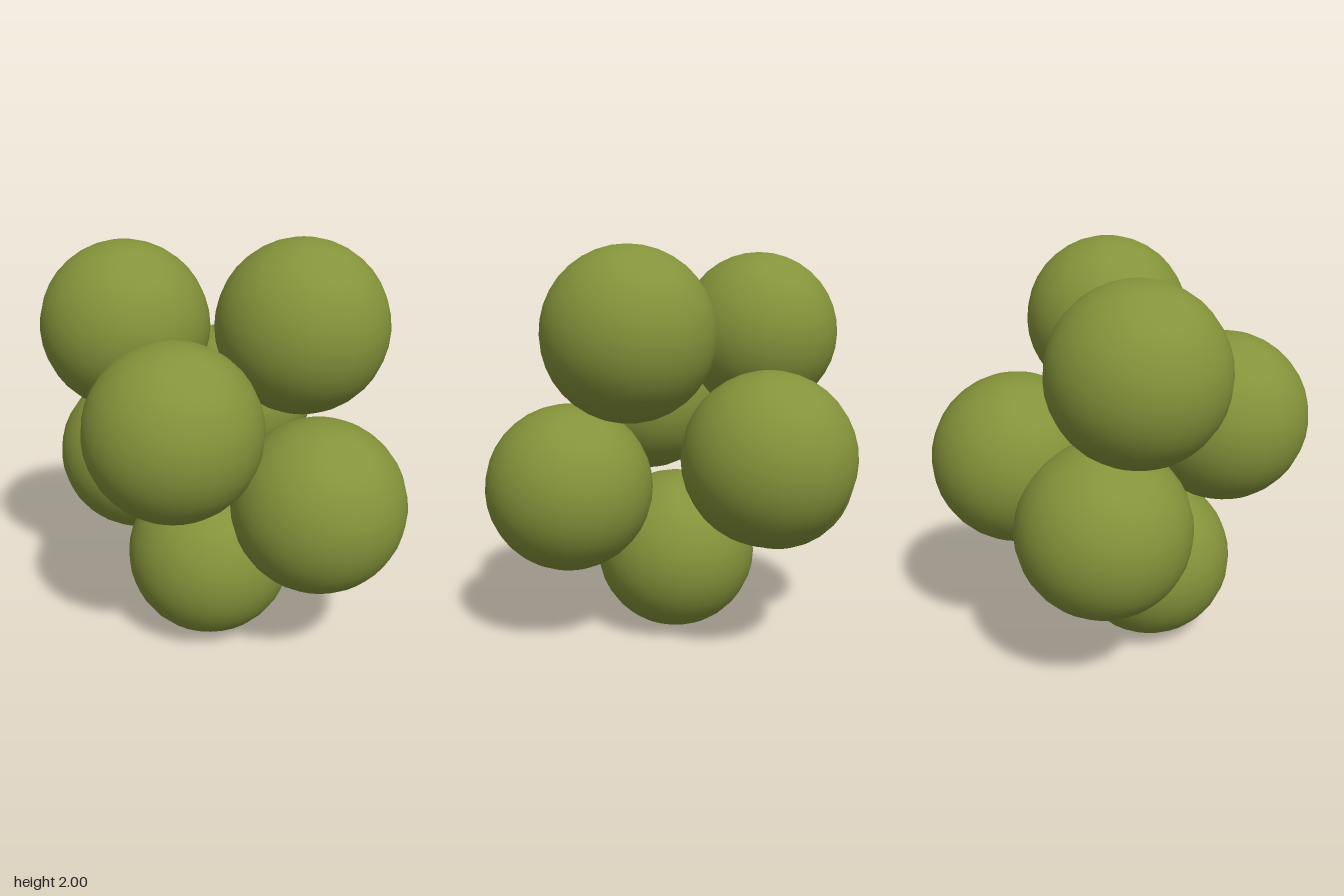
import * as THREE from 'three';

export function createModel() {
  const model = new THREE.Group();
  model.name = 'sphereCluster';

  const olive = new THREE.MeshStandardMaterial({ color: 0x84933a });
  olive.name = 'olive green';

  // Seven equal balls packed into one cluster
  const ball = new THREE.SphereGeometry(0.414, 28, 18);
  const centres = {
    upperRightBall: [-0.504, 1.544, 0.01],
    upperLeftBall: [0.363, 1.587, 0.013],
    frontBall: [-0.145, 1.203, 0.501],
    lowerLeftBall: [0.502, 0.818, 0.325],
    bottomBall: [-0.057, 0.418, 0.163],
    lowerRightBall: [-0.506, 0.815, -0.145],
    backBall: [-0.057, 1.018, -0.5],
  };

  for (const [name, centre] of Object.entries(centres)) {
    const mesh = new THREE.Mesh(ball, olive);
    mesh.name = name;
    mesh.position.set(...centre);
    model.add(mesh);
  }
  return model;
}
